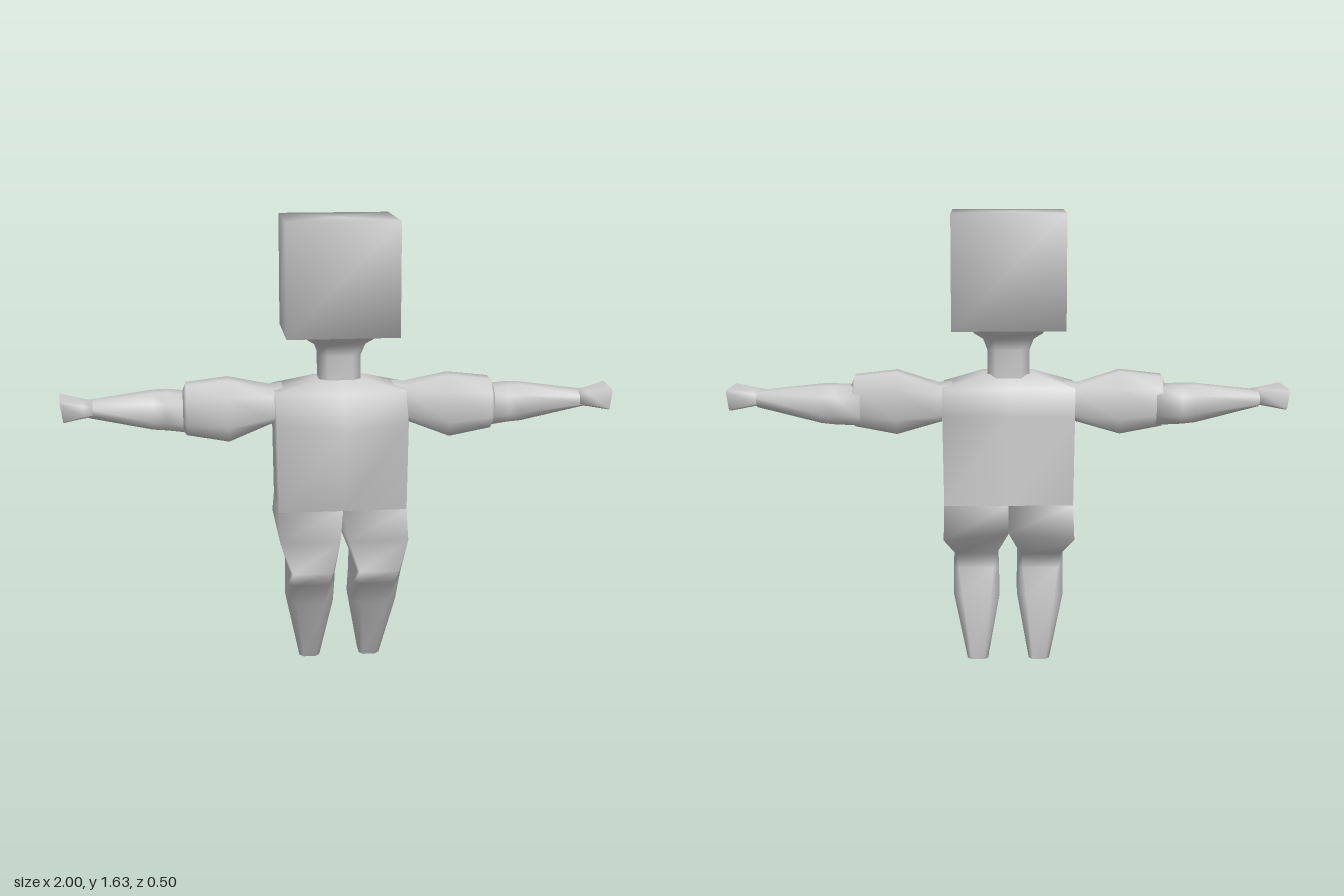
import * as THREE from 'three';
import { mergeVertices } from 'three/addons/utils/BufferGeometryUtils.js';

const material = new THREE.MeshStandardMaterial({ color: 0xcccccc, side: THREE.DoubleSide });

// Chamfered rectangle as 8 [u, v] points, counterclockwise from u to v
function section(u0, u1, v0, v1, chamfer) {
  const a = (u1 - u0) * chamfer, b = (v1 - v0) * chamfer;
  return [[u1, v0 + b], [u1, v1 - b], [u1 - a, v1], [u0 + a, v1],
    [u0, v1 - b], [u0, v0 + b], [u0 + a, v0], [u1 - a, v0]];
}

// Level section at height y, with u = z and v = x
const level = (y, z0, z1, x0, x1, c) => section(z0, z1, x0, x1, c).map(([z, x]) => [x, y, z]);
// Upright section at distance x, with u = y and v = z
const upright = ([x, y0, y1, z0, z1, c]) => section(y0, y1, z0, z1, c).map(([y, z]) => [x, y, z]);

// Smooth skin over rings of points; side -1 mirrors it across x
function loft(name, rings, { side = 1, capStart = false, capEnd = false } = {}) {
  if (side < 0) rings = rings.map(r => r.map(([x, y, z]) => [-x, y, z]).reverse());
  const n = rings[0].length, points = rings.flat(), index = [];
  for (let i = 0; i < rings.length - 1; i++) {
    for (let j = 0; j < n; j++) {
      const a = i * n + j, b = i * n + (j + 1) % n;
      index.push(a, b, b + n, a, b + n, a + n);
    }
  }
  const cap = (i, flip) => {
    const centre = points.length;
    points.push([0, 1, 2].map(k => rings[i].reduce((s, p) => s + p[k], 0) / n));
    for (let j = 0; j < n; j++) {
      const a = i * n + j, b = i * n + (j + 1) % n;
      index.push(centre, flip ? b : a, flip ? a : b);
    }
  };
  if (capStart) cap(0, true);
  if (capEnd) cap(rings.length - 1, false);
  let geometry = new THREE.BufferGeometry();
  geometry.setAttribute('position', new THREE.Float32BufferAttribute(points.flat(), 3));
  geometry.setIndex(index);
  geometry = mergeVertices(geometry);
  geometry.computeVertexNormals();
  const mesh = new THREE.Mesh(geometry, material);
  mesh.name = name;
  return mesh;
}

// Torso ring with a ridge down the middle of the chest
const torsoRing = (y, w, ridge, front, back) => [
  [0, y, ridge], [w, y, front], [w, y, (front + back) / 2], [w, y, back],
  [0, y, back], [-w, y, back], [-w, y, (front + back) / 2], [-w, y, front]];

export function createModel() {
  const model = new THREE.Group();

  // Head: a block with softly shared normals
  model.add(loft('head', [
    level(1.23, -0.19, 0.15, -0.2, 0.2, 0),
    level(1.635, -0.19, 0.15, -0.2, 0.2, 0),
  ], { capStart: true, capEnd: true }));

  // Neck flaring out under the head
  model.add(loft('neck', [
    level(1.03, -0.09, 0.05, -0.075, 0.075, 0.2),
    level(1.15, -0.09, 0.05, -0.075, 0.075, 0.2),
    level(1.19, -0.105, 0.065, -0.09, 0.09, 0.2),
    level(1.21, -0.13, 0.09, -0.12, 0.12, 0.2),
    level(1.232, -0.145, 0.105, -0.138, 0.138, 0.2),
  ]));

  // Torso with pointed chest and sloping shoulders
  model.add(loft('torso', [
    torsoRing(0.6, 0.23, 0.13, 0.13, -0.15),
    torsoRing(0.92, 0.235, 0.25, 0.13, -0.14),
    torsoRing(1.02, 0.235, 0.12, 0.06, -0.14),
    torsoRing(1.063, 0.09, 0.06, 0.05, -0.07),
  ], { capEnd: true }));

  for (const side of [1, -1]) {
    const label = side > 0 ? 'left' : 'right';

    // Upper arm
    model.add(loft(label + 'UpperArm', [
      [0.2, 0.91, 1.03, -0.14, 0.03, 0.2],
      [0.25, 0.895, 1.025, -0.135, 0.025, 0.2],
      [0.4, 0.842, 1.067, -0.085, 0.062, 0.25],
      [0.55, 0.87, 1.05, -0.082, 0.062, 0.25],
      [0.562, 0.885, 1.02, -0.075, 0.05, 0.25],
    ].map(upright), { side, capEnd: true }));

    // Forearm, tapering to the wrist
    model.add(loft(label + 'Forearm', [
      [0.53, 0.875, 1.015, -0.09, 0.05, 0.25],
      [0.62, 0.883, 1.02, -0.112, 0.035, 0.25],
      [0.67, 0.887, 1.02, -0.1, 0.03, 0.25],
      [0.9, 0.94, 0.993, -0.07, 0.043, 0.25],
    ].map(upright), { side, capStart: true, capEnd: true }));

    // Hand: a wedge with a slanted end
    const tip = upright([0.99, 0.935, 1.01, -0.1, 0.08, 0.08])
      .map(([, y, z]) => [0.99 + (y - 0.97) * 0.14 - z * 0.07, y, z]);
    model.add(loft(label + 'Hand', [
      ...[[0.88, 0.945, 0.995, -0.05, 0.045, 0.2],
        [0.91, 0.942, 0.999, -0.05, 0.052, 0.2]].map(upright), tip,
    ], { side, capStart: true, capEnd: true }));

    // Leg with jutting knee, and the hip drawn out to a point behind
    const hip = level(0.5, -0.25, 0.18, 0, 0.23, 0);
    for (const i of [5, 6]) hip[i][2] = -0.16;
    for (const i of [0, 7]) hip[i][0] = 0.015;
    model.add(loft(label + 'Leg', [
      level(0, -0.08, 0.012, 0.075, 0.15, 0.2),
      level(0.24, -0.08, 0.11, 0.032, 0.2, 0.2),
      level(0.34, -0.045, 0.18, 0.035, 0.2, 0.12),
      level(0.4, -0.065, 0.23, 0.04, 0.198, 0.06),
      hip,
      level(0.6, -0.15, 0.13, 0, 0.23, 0),
    ], { side, capStart: true }));
  }
  return model;
}
